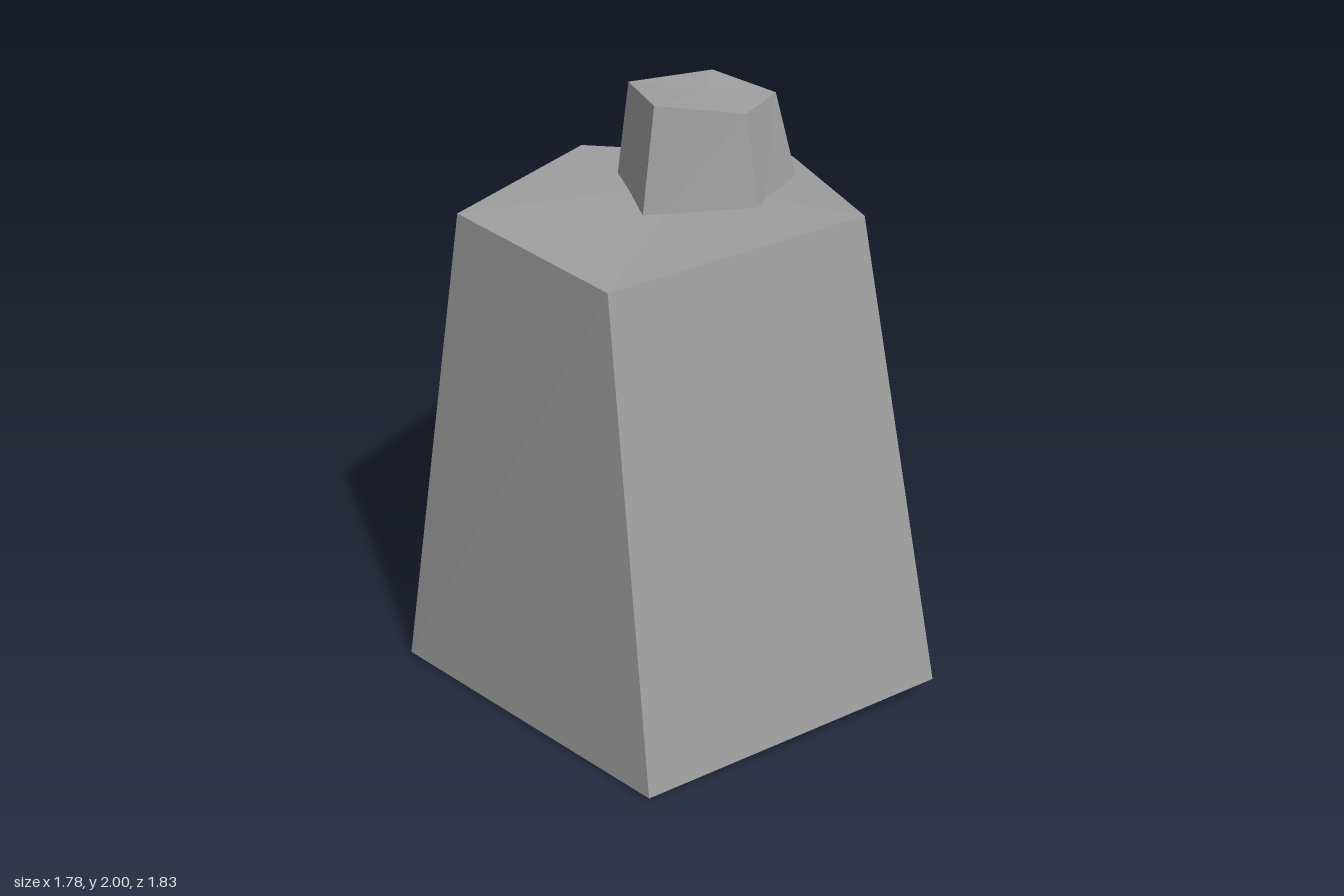
import * as THREE from 'three';

// Flat-faced solid between two rings (counter-clockwise seen from above), capped by fans around two centres
function frustum(lower, upper, lowerCentre, upperCentre) {
  const tris = [];
  const n = lower.length;
  for (let i = 0; i < n; i++) {
    const j = (i + 1) % n;
    tris.push(lower[i], lower[j], upper[j]);
    tris.push(lower[i], upper[j], upper[i]);
    tris.push(upperCentre, upper[i], upper[j]);
    tris.push(lowerCentre, lower[j], lower[i]);
  }
  const geometry = new THREE.BufferGeometry();
  geometry.setAttribute('position', new THREE.Float32BufferAttribute(tris.flat(), 3));
  geometry.computeVertexNormals();
  return geometry;
}

const average = (ring) => [0, 1, 2].map((k) => ring.reduce((sum, p) => sum + p[k], 0) / ring.length);

export function createModel() {
  const model = new THREE.Group();
  const stone = new THREE.MeshStandardMaterial({ color: 0xa0a0a0 });
  stone.name = 'grey stone';

  // Tapered five-sided block with an uneven base
  const base = [[0.23, 0.065, -0.915], [-0.89, 0, -0.6], [-0.845, 0.003, 0.615], [0.265, 0.01, 0.91], [0.89, 0.1, 0.057]];
  const rim = [[0.095, 1.645, -0.485], [-0.59, 1.65, -0.25], [-0.635, 1.645, 0.44], [0.07, 1.645, 0.74], [0.565, 1.715, 0.05]];
  const body = new THREE.Mesh(frustum(base, rim, [-0.28, 0.012, 0.02], [-0.08, 1.675, -0.04]), stone);
  body.name = 'body';

  // Small five-sided cap, its foot sunk into the body
  const crown = [[-0.30, 1.97, -0.068], [-0.075, 2, 0.18], [0.167, 1.97, 0.043], [0.138, 1.95, -0.237], [-0.123, 1.965, -0.314]];
  const seam = [[-0.335, 1.665, -0.048], [-0.09, 1.665, 0.235], [0.228, 1.69, 0.078], [0.2, 1.67, -0.27], [-0.147, 1.66, -0.357]];
  const foot = seam.map((p, i) => p.map((v, k) => v + 0.25 * (v - crown[i][k])));
  const cap = new THREE.Mesh(frustum(foot, crown, average(foot), average(crown)), stone);
  cap.name = 'cap';

  model.add(body, cap);
  return model;
}
